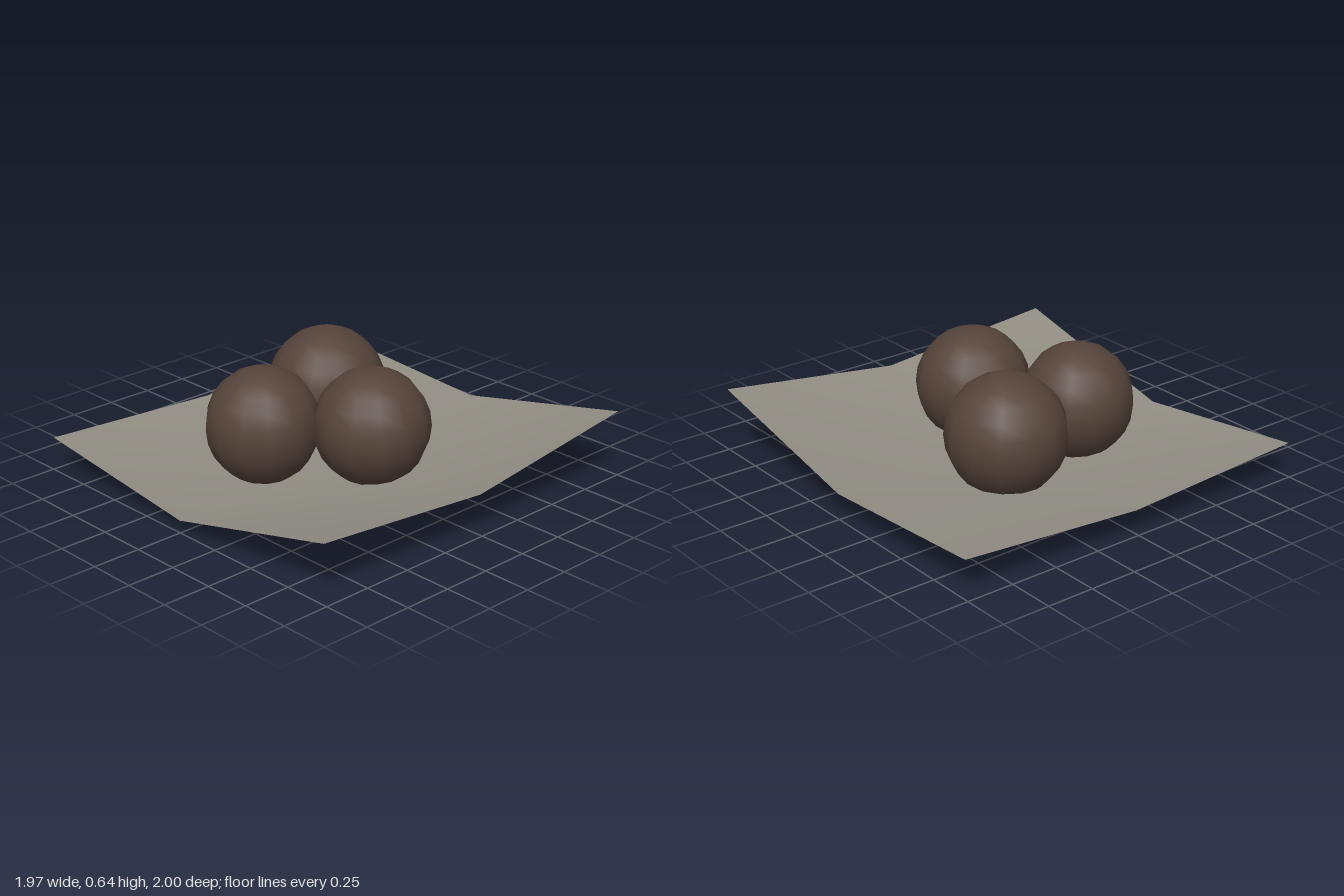
import * as THREE from 'three';

export function createModel() {
  const group = new THREE.Group();
  const clothColor = new THREE.MeshStandardMaterial({ color: 0x918d83, side: THREE.DoubleSide });
  clothColor.name = 'grey cloth';
  const ballColor = new THREE.MeshStandardMaterial({ color: 0x55433a });
  ballColor.name = 'dark brown';

  // Sagging sheet: corner, edge and centre heights, back row to front row
  const heights = [
    0.20, 0.135, 0.34,
    0.125, 0.02, 0.21,
    0.18, 0.065, 0.30,
  ];
  const sheet = new THREE.PlaneGeometry(1.965, 2, 2, 2).rotateX(-Math.PI / 2);
  heights.forEach((y, i) => sheet.attributes.position.setY(i, y));
  sheet.computeVertexNormals();
  const cloth = new THREE.Mesh(sheet, clothColor);
  cloth.name = 'sheet';
  group.add(cloth);

  // Coarse round balls, each drawn to a slight point underneath
  const addBall = (name, x, y, z, radius, top, turn) => {
    const geo = new THREE.SphereGeometry(1, 13, 12);
    const p = geo.attributes.position;
    for (let i = 0; i < p.count; i++) {
      if (p.getY(i) < -0.99) p.setY(i, -1.05);
    }
    geo.scale(radius, top, radius);
    const ball = new THREE.Mesh(geo, ballColor);
    ball.name = name;
    ball.position.set(x, y, z);
    ball.rotation.y = turn;
    group.add(ball);
  };
  addBall('backBall', -0.29, 0.332, -0.222, 0.303, 0.307, 0.2);
  addBall('frontBall', -0.155, 0.313, 0.336, 0.287, 0.297, 0.12);
  addBall('sideBall', 0.28, 0.346, 0.016, 0.291, 0.293, 0.1);

  return group;
}
